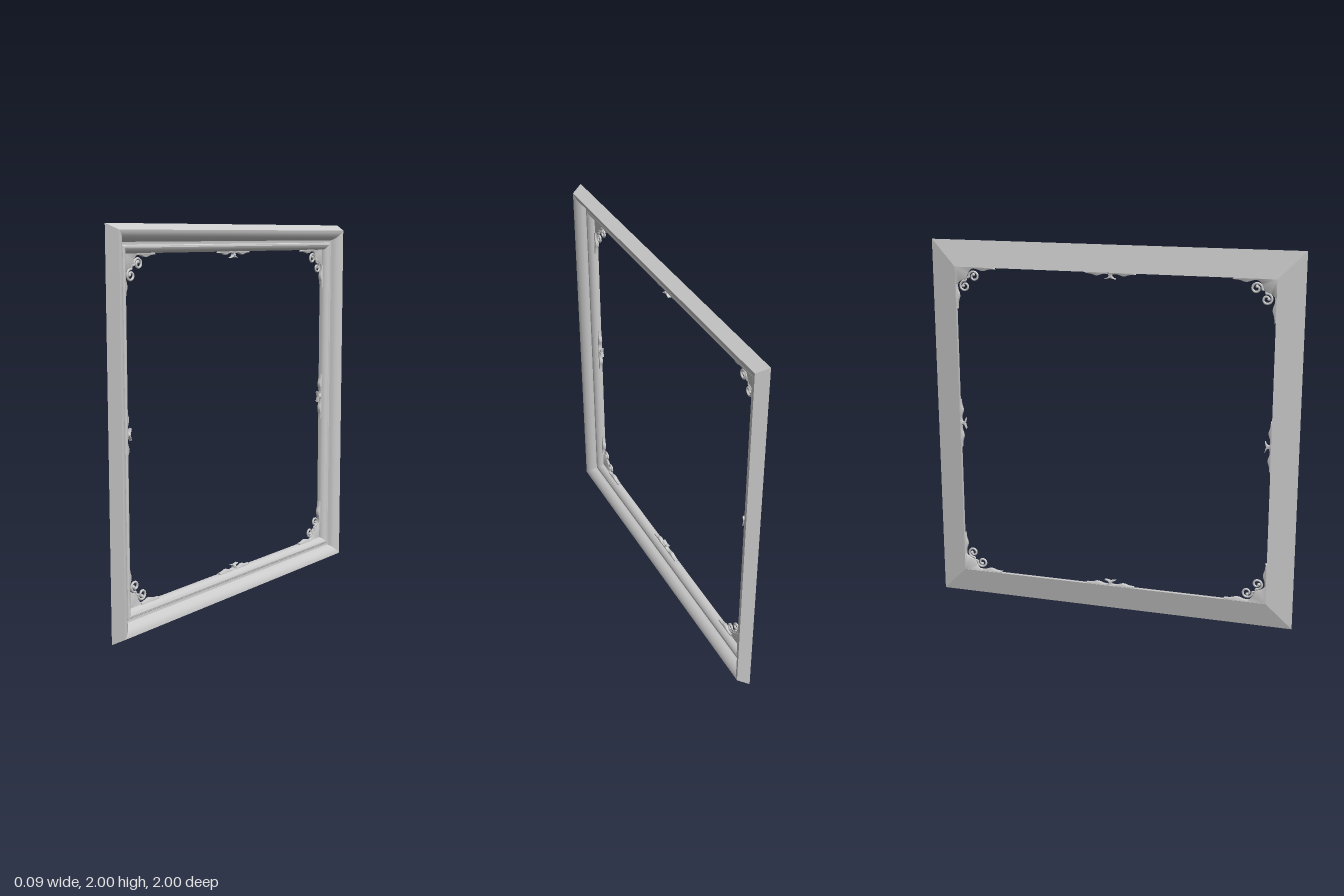
import * as THREE from 'three';
import { toCreasedNormals } from 'three/addons/utils/BufferGeometryUtils.js';

const INNER = 0.86; // half size of the opening
const BACK = -0.043; // depth at which the ornaments start
const material = new THREE.MeshStandardMaterial({ color: 0xcccccc, side: THREE.DoubleSide });

function addMesh(parent, name, geometry) {
  const mesh = new THREE.Mesh(geometry, material);
  mesh.name = name;
  parent.add(mesh);
  return mesh;
}

// Flat carved piece with softened edges
function carve(shape, depth = 0.012) {
  const geometry = new THREE.ExtrudeGeometry(shape, {
    depth, bevelEnabled: true, bevelThickness: 0.004, bevelSize: 0.003,
    bevelOffset: -0.003, bevelSegments: 2, curveSegments: 6,
  });
  return toCreasedNormals(geometry.translate(0, 0, BACK + 0.004), 0.7);
}

// Wavy leaf lying along the rail, from a thick root to a thin tip
function leafShape(root, tip, height) {
  const at = (t) => root + (tip - root) * t;
  const s = new THREE.Shape();
  s.moveTo(at(0), -0.004);
  s.lineTo(at(0), height * 0.5);
  s.quadraticCurveTo(at(0.15), height * 0.25, at(0.3), height * 0.65);
  s.quadraticCurveTo(at(0.5), height * 1.25, at(0.66), height * 0.65);
  s.quadraticCurveTo(at(0.8), height * 0.4, at(1), height * 0.4);
  s.lineTo(at(0.94), -0.004);
  s.closePath();
  return s;
}

// Rolled scroll with a small bead at its eye
function addScroll(parent) {
  const points = [];
  const cx = 0.103, cy = 0.05;
  for (let i = 0; i <= 18; i++) {
    const t = i / 18;
    const angle = Math.PI * (0.95 + 2.5 * t);
    const r = 0.03 - 0.02 * t;
    points.push(new THREE.Vector3(cx + r * Math.cos(angle), cy + r * Math.sin(angle), BACK + 0.011));
  }
  points.unshift(new THREE.Vector3(0.055, 0.056, BACK + 0.011));
  const curve = new THREE.CatmullRomCurve3(points);
  addMesh(parent, 'scroll', new THREE.TubeGeometry(curve, 48, 0.006, 8));
  const end = points[points.length - 1];
  const bead = addMesh(parent, 'scrollBead', new THREE.SphereGeometry(0.009, 12, 8));
  bead.position.copy(end);
}

// Corner ornament; origin at the corner of the opening, symmetric on the diagonal
function cornerOrnament() {
  const group = new THREE.Group();
  const web = new THREE.Shape();
  web.moveTo(-0.004, -0.004);
  web.lineTo(0.11, -0.004);
  web.quadraticCurveTo(0.075, 0.02, 0.07, 0.04);
  web.quadraticCurveTo(0.066, 0.054, 0.06, 0.06);
  web.quadraticCurveTo(0.054, 0.066, 0.04, 0.07);
  web.quadraticCurveTo(0.02, 0.075, -0.004, 0.11);
  web.closePath();
  addMesh(group, 'cornerWeb', carve(web, 0.006));

  for (const mirrored of [false, true]) {
    const half = new THREE.Group();
    half.name = 'cornerHalf';
    addMesh(half, 'cornerLeaf', carve(leafShape(0.09, 0.225, 0.02)));
    addScroll(half);
    if (mirrored) { // swap the two edges
      half.rotation.z = Math.PI / 2;
      half.scale.y = -1;
    }
    group.add(half);
  }
  return group;
}

// Ornament at the middle of a rail; origin on the rail edge
function middleOrnament() {
  const group = new THREE.Group();
  const flare = new THREE.Shape();
  flare.moveTo(-0.03, -0.003);
  flare.quadraticCurveTo(-0.008, 0.006, -0.008, 0.016);
  flare.quadraticCurveTo(-0.01, 0.025, -0.032, 0.033);
  flare.quadraticCurveTo(-0.01, 0.033, 0, 0.027);
  flare.quadraticCurveTo(0.01, 0.033, 0.032, 0.033);
  flare.quadraticCurveTo(0.01, 0.025, 0.008, 0.016);
  flare.quadraticCurveTo(0.008, 0.006, 0.03, -0.003);
  flare.closePath();
  addMesh(group, 'middleFlare', carve(flare));
  const bead = addMesh(group, 'middleBead', new THREE.SphereGeometry(0.009, 12, 8));
  bead.position.set(0, 0.018, BACK + 0.016);
  for (const side of [-1, 1]) {
    const leaf = addMesh(group, 'middleLeaf', carve(leafShape(0.015, 0.135, 0.018)));
    leaf.scale.x = side;
  }
  return group;
}

export function createModel() {
  const model = new THREE.Group();
  model.name = 'pictureFrame';

  // Moulding section: half size of the square, depth from back to front
  const section = [
    [0.86, -0.045], [1, -0.015], [0.97, 0.045], [0.957, 0.043], [0.942, 0.036],
    [0.928, 0.024], [0.919, 0.01], [0.914, -0.004], [0.9, -0.006], [0.896, 0.0],
    [0.887, 0.002], [0.877, -0.002], [0.868, -0.01], [0.862, -0.02], [0.86, -0.028], [0.86, -0.045],
  ].map(([d, x]) => new THREE.Vector2(d * Math.SQRT2, x));

  // Four mitred rails, each a quarter of a four-sided lathe
  for (let i = 0; i < 4; i++) {
    const rail = new THREE.LatheGeometry(section, 1, Math.PI / 4 + i * Math.PI / 2, Math.PI / 2);
    rail.rotateZ(-Math.PI / 2);
    addMesh(model, 'rail', toCreasedNormals(rail, 0.55));
  }

  // Ornaments are drawn flat, then turned to face +x
  const ornaments = new THREE.Group();
  ornaments.name = 'ornaments';
  ornaments.rotation.y = Math.PI / 2;
  for (let i = 0; i < 4; i++) {
    const quarter = new THREE.Group();
    quarter.name = 'ornamentQuarter';
    quarter.rotation.z = i * Math.PI / 2;
    const corner = cornerOrnament();
    corner.name = 'cornerOrnament';
    corner.position.set(-INNER, -INNER, 0);
    const middle = middleOrnament();
    middle.name = 'middleOrnament';
    middle.position.set(0, -INNER, 0);
    quarter.add(corner, middle);
    ornaments.add(quarter);
  }
  model.add(ornaments);

  model.position.y = 1;
  const root = new THREE.Group();
  root.name = 'frame';
  root.add(model);
  return root;
}
